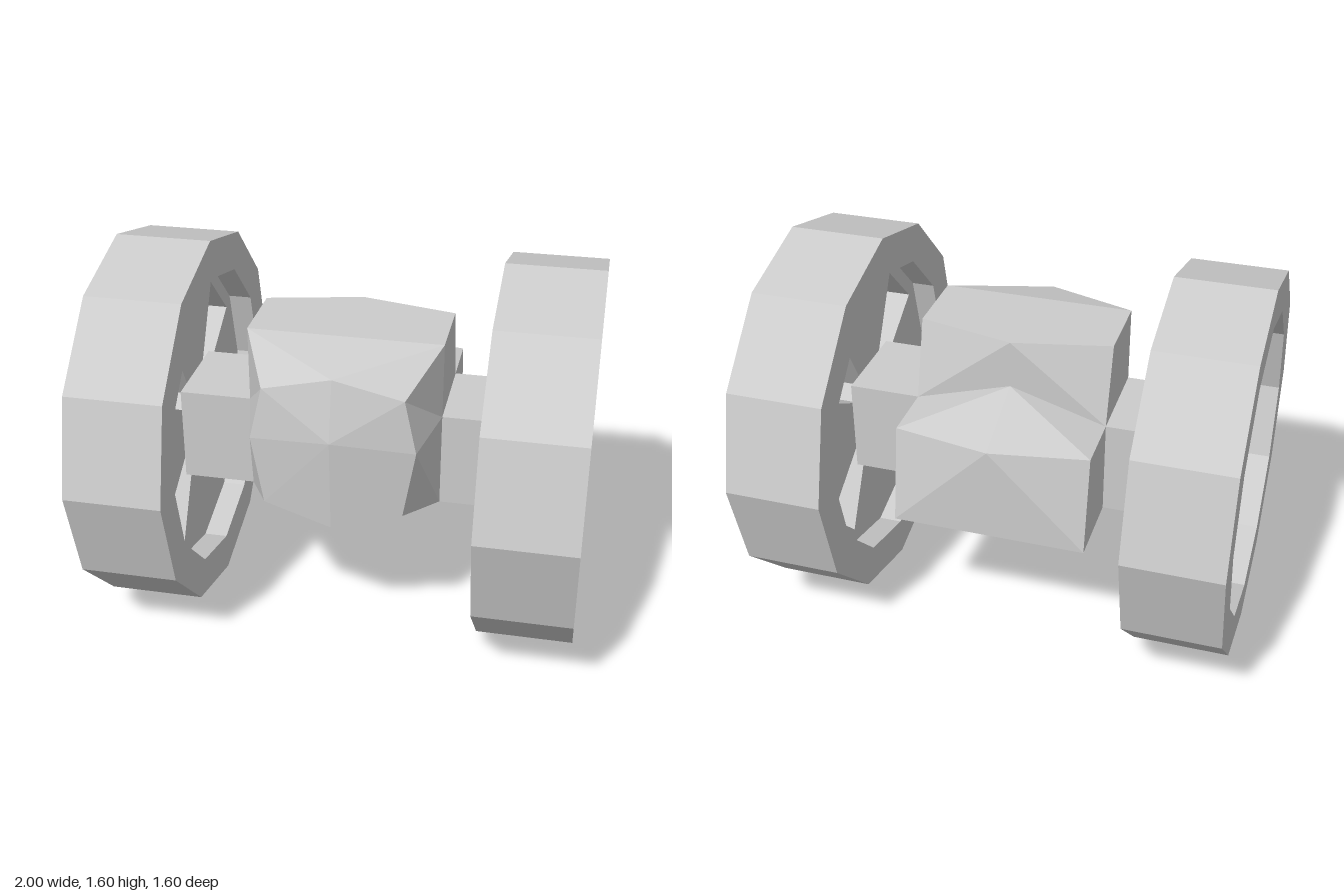
import * as THREE from 'three';

const material = new THREE.MeshStandardMaterial({ color: 0xcccccc, flatShading: true });
const AXLE_Y = 0.8;

function named(name, geometry) {
  const mesh = new THREE.Mesh(geometry, material);
  mesh.name = name;
  return mesh;
}

// Twelve-sided outline with a corner at the top
function ringPoints(radius) {
  return Array.from({ length: 12 }, (_, i) => {
    const a = (i * Math.PI) / 6;
    return new THREE.Vector2(radius * Math.cos(a), radius * Math.sin(a));
  });
}

// Extrusion whose depth runs along x, centred on its own origin
function extrudeAlongX(shape, depth) {
  return new THREE.ExtrudeGeometry(shape, { depth, bevelEnabled: false })
    .translate(0, 0, -depth / 2)
    .rotateY(Math.PI / 2);
}

function createWheel(name) {
  const wheel = new THREE.Group();
  wheel.name = name;

  // Thick outer rim
  const rim = new THREE.Shape(ringPoints(0.8));
  rim.holes.push(new THREE.Path(ringPoints(0.635)));
  wheel.add(named('rim', extrudeAlongX(rim, 0.4)));

  // Recessed disc with four flared openings that leave a cross of spokes
  const disc = new THREE.Shape(ringPoints(0.635));
  const opening = [[0.072, 0.127], [0.285, 0.495], [0.495, 0.285], [0.127, 0.072]];
  for (const sx of [1, -1]) {
    for (const sy of [1, -1]) {
      disc.holes.push(new THREE.Path(opening.map(([x, y]) => new THREE.Vector2(x * sx, y * sy))));
    }
  }
  wheel.add(named('spokeDisc', extrudeAlongX(disc, 0.2)));
  return wheel;
}

// Faceted hull lofted through mirrored cross-sections, front to back
function createBody() {
  // Half sections: top centre, top corner, side, bottom corner, bottom centre
  const halves = [
    [[0, 1.25, 0.45], [0.285, 1.18, 0.44], [0.335, 0.96, 0.45], [0.285, 0.67, 0.45], [0, 0.605, 0.49]],
    [[0, 1.32, 0.2], [0.4, 1.32, 0.2], [0.4, 1, 0.2], [0.4, 0.6, 0.2], [0, 0.6, 0.2]],
    [[0, 1.32, -0.2], [0.4, 1.32, -0.11], [0.4, 1, -0.2], [0.4, 0.6, -0.2], [0, 0.6, -0.2]],
    [[0, 1.12, -0.2], [0.4, 1, -0.2], [0.4, 1, -0.2], [0.4, 0.6, -0.2], [0, 0.6, -0.2]],
    [[0, 1, -0.52], [0.4, 1, -0.45], [0.4, 1, -0.45], [0.4, 0.6, -0.52], [0, 0.6, -0.52]],
  ];
  const rings = halves.map((half) => [
    ...half,
    ...half.slice(1, 4).reverse().map(([x, y, z]) => [-x, y, z]),
  ]);

  const positions = [];
  const triangle = (...corners) => {
    const [a, b, c] = corners.map((p) => new THREE.Vector3(...p));
    if (b.sub(a).cross(c.sub(a)).length() > 1e-6) positions.push(...corners.flat());
  };

  const noseTip = [0, 1, 0.51];
  const front = rings[0];
  const back = rings[rings.length - 1];
  for (let i = 0; i < 8; i++) {
    const j = (i + 1) % 8;
    for (let r = 0; r < rings.length - 1; r++) {
      const a = rings[r];
      const b = rings[r + 1];
      // Mirror the diagonals so both halves match
      if (i < 4) {
        triangle(a[i], a[j], b[j]);
        triangle(a[i], b[j], b[i]);
      } else {
        triangle(a[i], a[j], b[i]);
        triangle(a[j], b[j], b[i]);
      }
    }
    triangle(noseTip, front[j], front[i]);
    triangle(back[0], back[i], back[j]);
  }

  const geometry = new THREE.BufferGeometry();
  geometry.setAttribute('position', new THREE.Float32BufferAttribute(positions, 3));
  geometry.computeVertexNormals();
  return named('body', geometry);
}

export function createModel() {
  const model = new THREE.Group();
  model.name = 'wheeledBody';

  model.add(createBody());

  // Square axle reaching into both wheel discs
  const axle = named('axle', new THREE.BoxGeometry(1.4, 0.4, 0.4));
  axle.position.y = AXLE_Y;
  model.add(axle);

  for (const [name, side] of [['leftWheel', 1], ['rightWheel', -1]]) {
    const wheel = createWheel(name);
    wheel.position.set(side * 0.8, AXLE_Y, 0);
    model.add(wheel);
  }
  return model;
}
